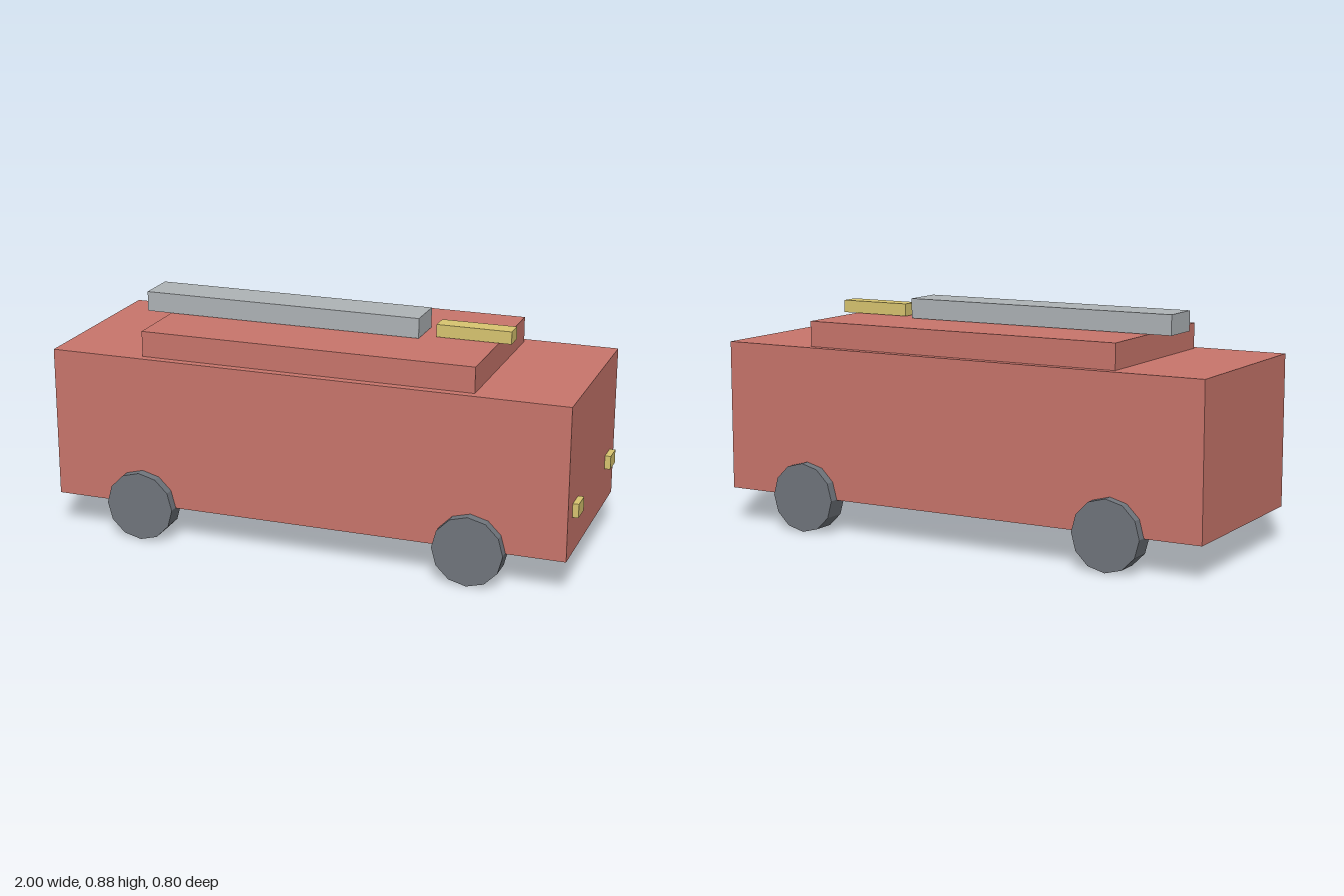
import * as THREE from 'three';

const paint = (color) => new THREE.MeshStandardMaterial({ color, flatShading: true });

export function createModel() {
  const group = new THREE.Group();
  const red = paint(0xc8756b);
  const grey = paint(0xaeb3b6);
  const yellow = paint(0xd8c570);
  const dark = paint(0x70757c);

  // Box given by its lower and upper limits on each axis
  const box = (name, material, [x0, x1], [y0, y1], [z0, z1]) => {
    const mesh = new THREE.Mesh(new THREE.BoxGeometry(x1 - x0, y1 - y0, z1 - z0), material);
    mesh.position.set((x0 + x1) / 2, (y0 + y1) / 2, (z0 + z1) / 2);
    mesh.name = name;
    group.add(mesh);
  };

  // Body and raised roof
  box('body', red, [-1, 0.978], [0.13, 0.702], [-0.365, 0.365]);
  box('roof', red, [-0.65, 0.624], [0.702, 0.798], [-0.333, 0.333]);

  // Roof equipment
  box('ladder', grey, [-0.744, 0.336], [0.8, 0.875], [-0.078, 0.078]);
  box('beacon', yellow, [0.39, 0.672], [0.8, 0.847], [-0.036, 0.036]);

  // Headlights on the +x end, and four twelve-sided wheels
  const wheelGeometry = new THREE.CylinderGeometry(0.132, 0.132, 0.085, 12).rotateX(Math.PI / 2);
  for (const side of [-1, 1]) {
    const z = side * 0.257;
    box('headlight', yellow, [0.97, 1], [0.274, 0.326], [z - 0.04, z + 0.04]);

    for (const x of [-0.65, 0.627]) {
      const wheel = new THREE.Mesh(wheelGeometry, dark);
      wheel.position.set(x, 0.132, side * 0.3585);
      wheel.name = 'wheel';
      group.add(wheel);
    }
  }

  return group;
}
